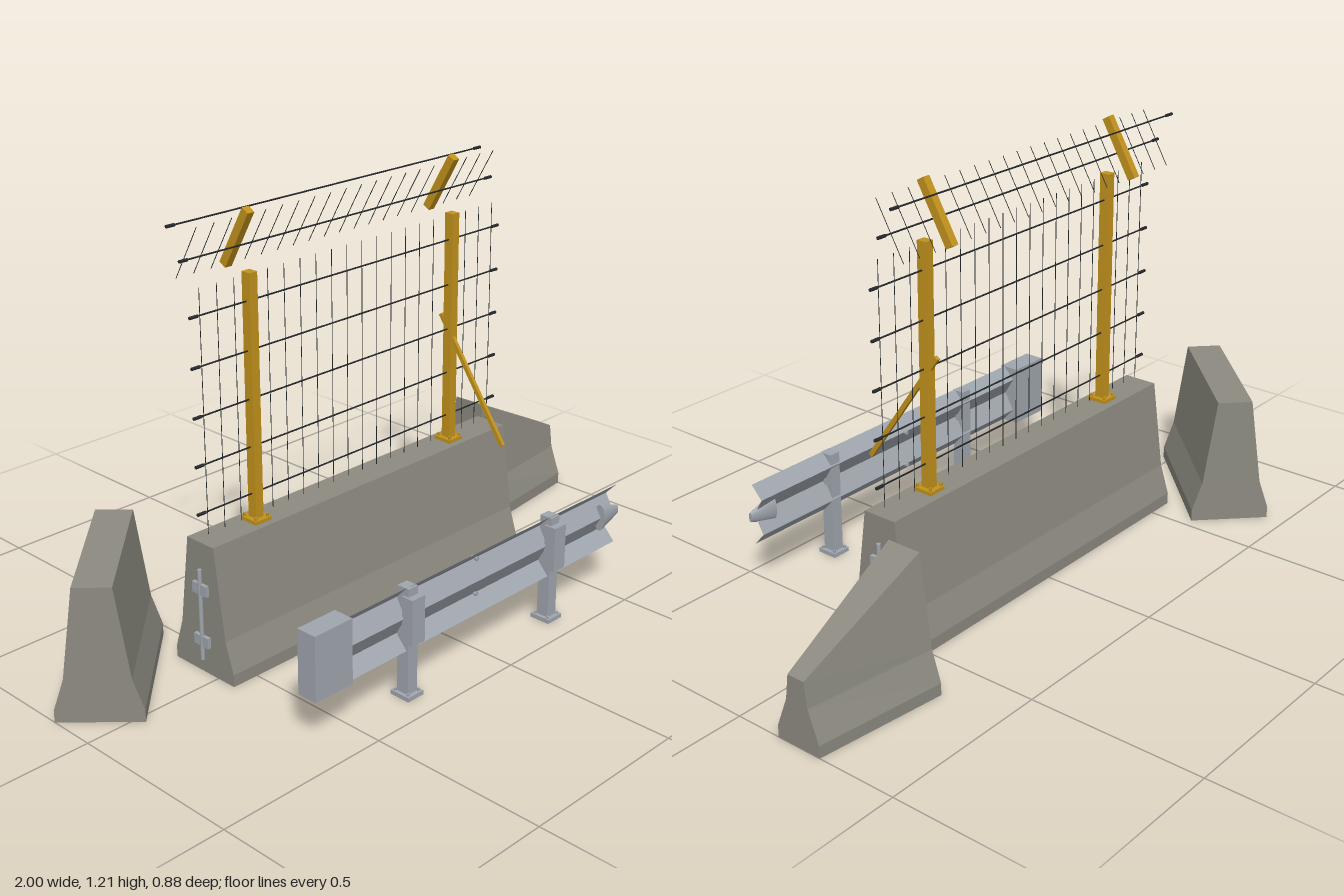
import * as THREE from 'three';

const mat = (name, color) => Object.assign(new THREE.MeshStandardMaterial({ color }), { name });

export function createModel() {
  const concrete = mat('concrete', 0x8c8a80);
  const gold = mat('goldPaint', 0xc2921c);
  const steel = mat('galvanisedSteel', 0xa0a6ae);
  const wire = mat('darkWire', 0x24282b);
  const railSteel = steel.clone();
  railSteel.name = 'railSheet';
  railSteel.side = THREE.DoubleSide;

  const model = new THREE.Group();
  model.name = 'roadBarrierSet';

  const add = (name, geo, material, x = 0, y = 0, z = 0, parent = model) => {
    const m = new THREE.Mesh(geo, material);
    m.name = name;
    m.position.set(x, y, z);
    parent.add(m);
    return m;
  };
  const box = (name, material, w, h, d, x, y, z, parent) =>
    add(name, new THREE.BoxGeometry(w, h, d), material, x, y, z, parent);
  // Round bar between two points
  const rod = (name, material, a, b, r, sides = 6) => {
    const va = new THREE.Vector3(...a), vb = new THREE.Vector3(...b);
    const m = add(name, new THREE.CylinderGeometry(r, r, va.distanceTo(vb), sides), material);
    m.position.copy(va).add(vb).multiplyScalar(0.5);
    m.quaternion.setFromUnitVectors(new THREE.Vector3(0, 1, 0), vb.sub(va).normalize());
    return m;
  };

  // Concrete block lofted between two half profiles of [halfWidth, height], top to bottom
  const block = (x0, half0, x1, half1) => {
    const pos = [], index = [];
    for (const [x, half] of [[x0, half0], [x1, half1]]) {
      for (const [w, h] of half) pos.push(x, h, w);
      for (const [w, h] of [...half].reverse()) pos.push(x, h, -w);
    }
    const quad = (a, b, c, d) => index.push(a, b, c, a, c, d);
    for (let i = 0; i < 8; i++) {
      const j = (i + 1) % 8;
      quad(i, j, j + 8, i + 8);
    }
    for (let k = 0; k < 3; k++) {
      quad(k + 8, k + 9, 14 - k, 15 - k);
      quad(7 - k, 6 - k, k + 1, k);
    }
    const g = new THREE.BufferGeometry();
    g.setAttribute('position', new THREE.Float32BufferAttribute(pos, 3));
    g.setIndex(index);
    const flat = g.toNonIndexed();
    flat.computeVertexNormals();
    return flat;
  };
  const profile = [[0.05, 0.375], [0.085, 0.12], [0.113, 0.034], [0.113, 0]];
  const lowProfile = [[0.026, 0.19], [0.035, 0.12], [0.068, 0.034], [0.068, 0]];

  const FZ = -0.052; // centre line of barrier and fence
  add('mainBarrier', block(-0.58, profile, 0.55, profile), concrete, 0, 0, FZ);
  add('angledBarrier', block(-0.219, profile, 0.219, profile), concrete, -0.766, 0, -0.208)
    .rotation.y = Math.PI / 4;
  add('taperedEndBarrier', block(0.625, profile, 1, lowProfile), concrete, 0, 0, -0.203);

  // Connector bars and lugs on both barrier ends
  for (const [x, s] of [[0.55, 1], [-0.58, -1]]) {
    rod('connectorPin', steel, [x + s * 0.006, 0.04, FZ], [x + s * 0.006, 0.3, FZ], 0.006, 10);
    for (const y of [0.095, 0.245]) box('connectorLug', steel, 0.014, 0.03, 0.054, x + s * 0.003, y, FZ);
  }

  // Fence posts, base plates, bolts and leaning top arms
  const tilt = Math.PI / 6;
  for (const x of [-0.39, 0.36]) {
    box('fencePost', gold, 0.026, 0.67, 0.029, x, 0.715, FZ + 0.002);
    box('postBasePlate', gold, 0.054, 0.01, 0.058, x, 0.38, FZ + 0.002);
    for (const dx of [-0.02, 0.02]) for (const dz of [-0.022, 0.022])
      add('baseBolt', new THREE.CylinderGeometry(0.004, 0.004, 0.012, 6), gold, x + dx, 0.388, FZ + 0.002 + dz);
    box('topArm', gold, 0.022, 0.18, 0.024, x, 1.128, -0.093).rotation.x = tilt;
  }

  // Single diagonal brace
  const brace = box('diagonalBrace', gold, 0.01, 0.412, 0.013, 0.36, 0.581, 0.034);
  brace.rotation.x = -Math.atan2(0.237, 0.338);

  // Horizontal wires with thick end sleeves: [y, z]
  const strands = [[1.11, -0.08], [1.188, -0.123]];
  for (let i = 0; i < 5; i++) strands.push([0.453 + i * 0.1305, FZ + 0.002]);
  for (const [y, z] of strands) {
    rod('fenceWire', wire, [-0.58, y, z], [0.555, y, z], 0.0022);
    for (const x of [-0.573, 0.543])
      rod('wireSleeve', wire, [x - 0.013, y, z], [x + 0.013, y, z], 0.0045, 8);
  }

  // Thin vertical mesh wires, continued along the leaning arms
  const meshX = [];
  for (let i = 0; i < 16; i++) meshX.push(-0.553 + i * 0.0558);
  for (let i = 0; i < 4; i++) meshX.push(0.36 + i * 0.0557);
  for (const x of meshX) {
    rod('meshWire', wire, [x, 0.39, FZ + 0.002], [x, 1.045, FZ + 0.002], 0.0012, 4);
    rod('armMeshWire', wire, [x, 1.195, -0.05], [x, 1.05, -0.134], 0.0012, 4);
  }

  // Corrugated guard rail sheet
  const RZ = 0.396;
  const wave = [[0.415, 0.137], [0.38, 0.175], [0.41, 0.228], [0.38, 0.278], [0.415, 0.315]];
  const sheet = new THREE.PlaneGeometry(1.07, 1, 1, 4).toNonIndexed();
  const p = sheet.attributes.position;
  for (let i = 0; i < p.count; i++) {
    const [z, y] = wave[Math.round((p.getY(i) + 0.5) * 4)];
    p.setXYZ(i, p.getX(i) + 0.015, y, z);
  }
  sheet.computeVertexNormals();
  add('guardRail', sheet, railSteel);

  // Rail posts with feet and spacer blocks
  for (const x of [-0.295, 0.268]) {
    box('railPost', steel, 0.034, 0.305, 0.038, x, 0.16, RZ + 0.006);
    box('railPostFoot', steel, 0.056, 0.012, 0.062, x, 0.006, RZ + 0.006);
    box('spacerBlock', steel, 0.046, 0.13, 0.036, x, 0.225, 0.422);
    for (const dx of [-0.02, 0.02]) for (const dz of [-0.022, 0.022])
      add('footBolt', new THREE.CylinderGeometry(0.004, 0.004, 0.008, 6), steel, x + dx, 0.014, RZ + 0.006 + dz);
  }

  // Splice bolts at mid rail
  for (const y of [0.175, 0.278])
    rod('spliceBolt', steel, [-0.015, y, 0.37], [-0.015, y, 0.39], 0.006, 8);

  // Terminal box and flattened nose cone
  box('railTerminal', steel, 0.125, 0.18, 0.06, -0.577, 0.225, RZ);
  const nose = add('noseCone', new THREE.CylinderGeometry(0.014, 0.04, 0.08, 20), steel, 0.53, 0.228, 0.405);
  nose.rotation.z = -Math.PI / 2;
  nose.scale.z = 0.45;

  return model;
}
